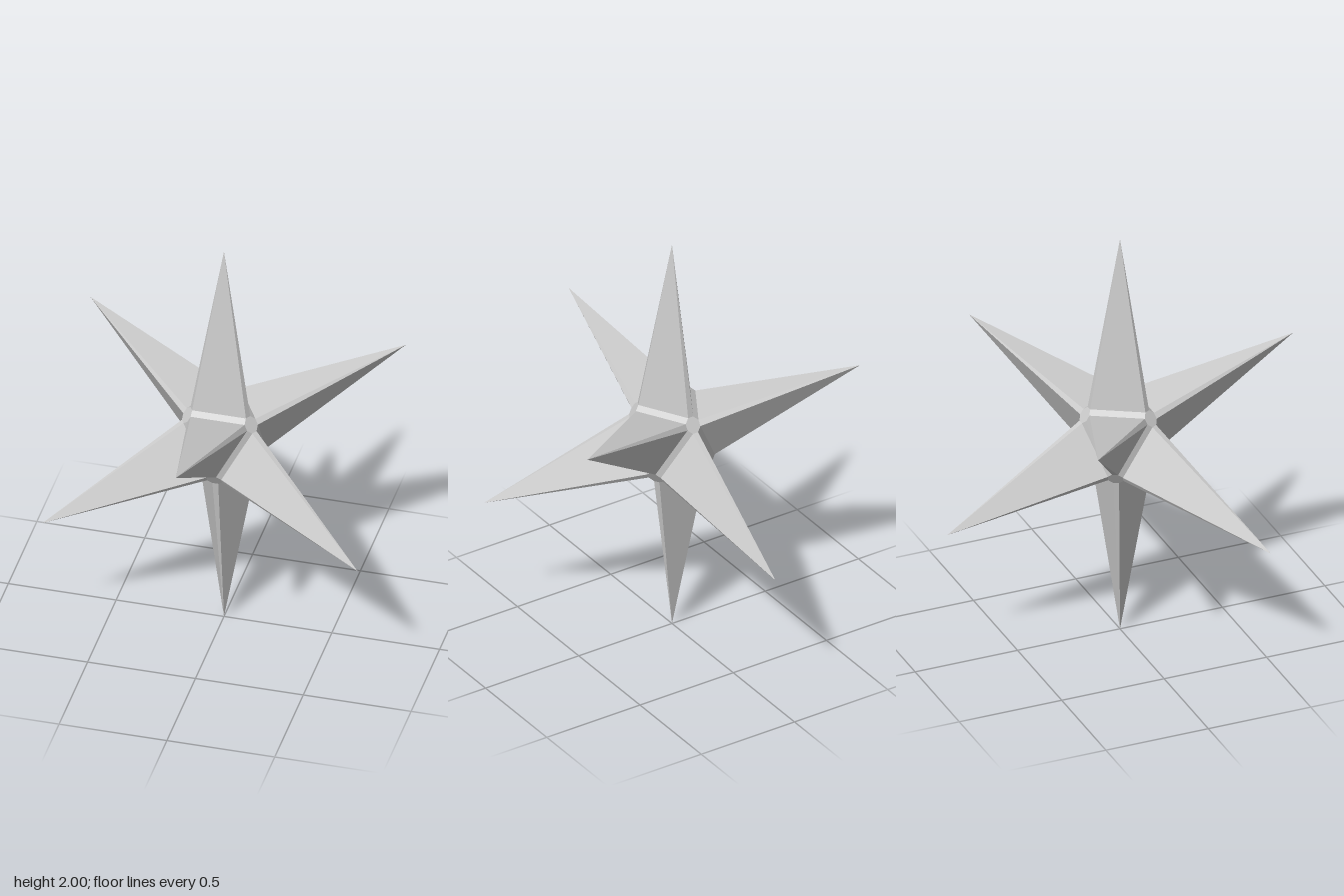
import * as THREE from 'three';
import { ConvexGeometry } from 'three/addons/geometries/ConvexGeometry.js';

// Core corners are all signed permutations of (A, B, C); spike tips sit on the cube diagonals.
const A = 0.235, B = 0.038, C = 0.0165;
const TIP = 1 / Math.sqrt(3);
const RING = [[A, B, C], [B, A, C], [C, A, B], [C, B, A], [B, C, A], [A, C, B]];

// The cube stands on one corner, slightly slimmer in x and z than in y.
const SLIM = 0.896;
const AXES = [0, 1, 2].map((i) => {
  const angle = Math.PI + (i * 2 * Math.PI) / 3;
  const r = Math.sqrt(2 / 3) * SLIM;
  return new THREE.Vector3(r * Math.sin(angle), TIP, r * Math.cos(angle));
});

function place(p, signs) {
  const v = new THREE.Vector3();
  AXES.forEach((axis, i) => v.addScaledVector(axis, p[i] * signs[i]));
  return v;
}

// Six-sided spike: three broad faces and three narrow ridge facets.
function spikeGeometry(ring, tip, mirrored) {
  const points = [];
  ring.forEach((p, i) => {
    const q = ring[(i + 1) % ring.length];
    points.push(tip, ...(mirrored ? [p, q] : [q, p]));
  });
  const geometry = new THREE.BufferGeometry().setFromPoints(points);
  // Turn every face outward from the centre of the star.
  const pos = geometry.attributes.position;
  const [a, b, c] = [new THREE.Vector3(), new THREE.Vector3(), new THREE.Vector3()];
  for (let i = 0; i < pos.count; i += 3) {
    a.fromBufferAttribute(pos, i);
    b.fromBufferAttribute(pos, i + 1);
    c.fromBufferAttribute(pos, i + 2);
    if (a.dot(b.clone().cross(c)) < 0) {
      pos.setXYZ(i + 1, c.x, c.y, c.z);
      pos.setXYZ(i + 2, b.x, b.y, b.z);
    }
  }
  geometry.computeVertexNormals();
  return geometry;
}

export function createModel() {
  const group = new THREE.Group();
  group.name = 'star';
  const material = new THREE.MeshStandardMaterial({ color: 0xcccccc, flatShading: true });
  const add = (name, geometry) => {
    const mesh = new THREE.Mesh(geometry, material);
    mesh.name = name;
    mesh.position.y = 1;
    group.add(mesh);
  };

  // Eight spikes, one per octant
  const corners = [];
  for (const sx of [1, -1]) for (const sy of [1, -1]) for (const sz of [1, -1]) {
    const signs = [sx, sy, sz];
    const ring = RING.map((p) => place(p, signs));
    corners.push(...ring);
    const sum = sx + sy + sz;
    const name = sum === 3 ? 'topSpike' : sum === -3 ? 'bottomSpike' : sum > 0 ? 'upperSpike' : 'lowerSpike';
    add(name, spikeGeometry(ring, place([TIP, TIP, TIP], signs), sx * sy * sz < 0));
  }

  // Core: shows as the strips between spikes and the small caps where four spikes meet
  add('core', new ConvexGeometry(corners));
  return group;
}
